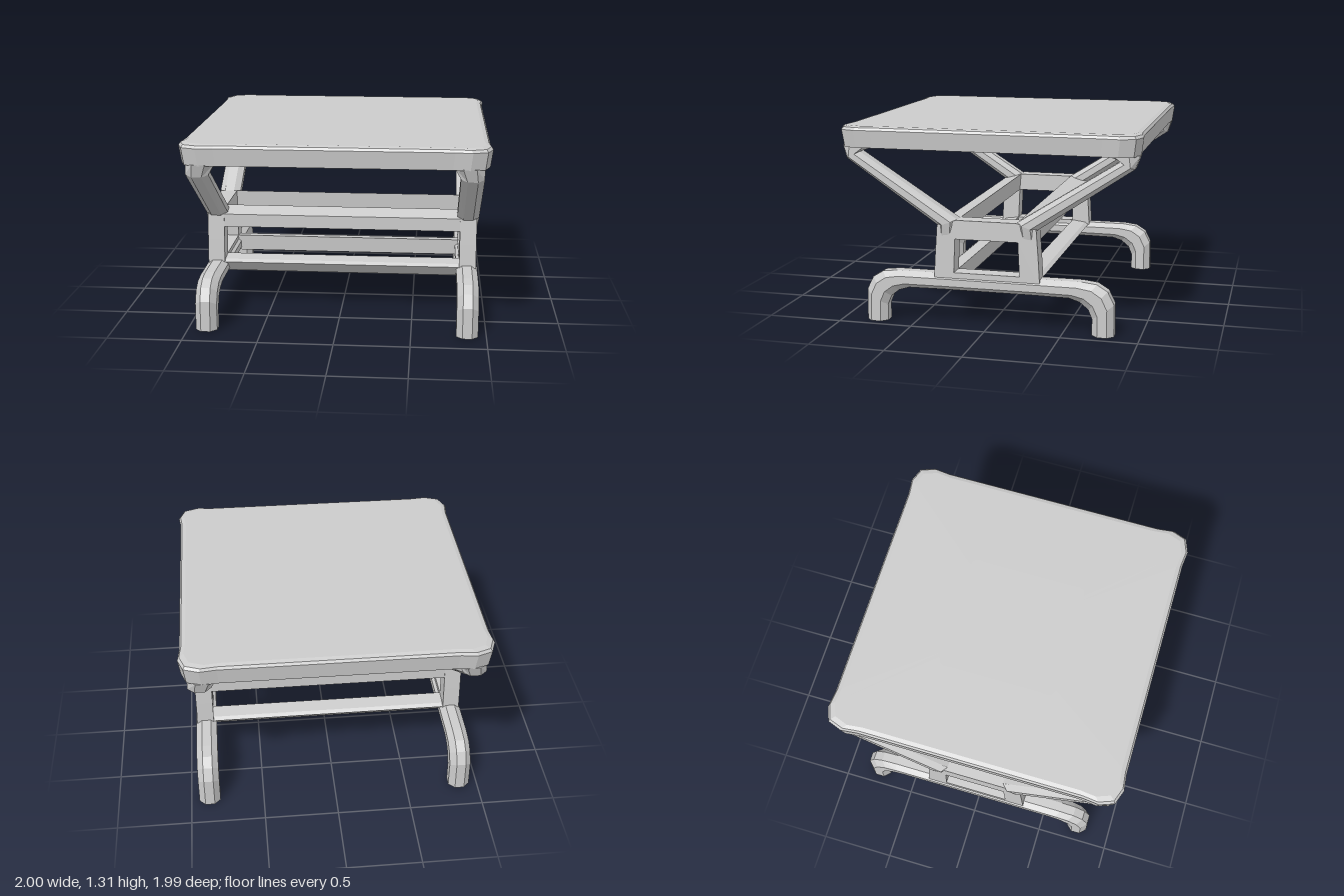
import * as THREE from 'three';

const material = new THREE.MeshStandardMaterial({ color: 0xcccccc, flatShading: true, side: THREE.DoubleSide });

// Skin a series of equal-length rings, optionally closing both ends.
function skin(rings, capped) {
  const n = rings[0].length, pos = rings.flat(2), idx = [];
  for (let i = 0; i < rings.length - 1; i++) {
    for (let j = 0; j < n; j++) {
      const k = (j + 1) % n, a = i * n + j, b = i * n + k;
      idx.push(a, b + n, b, a, a + n, b + n);
    }
  }
  if (capped) {
    const last = (rings.length - 1) * n, c0 = rings.length * n;
    pos.push(0, 1, 2).forEach;
    pos.length -= 3;
    for (const ring of [rings[0], rings[rings.length - 1]]) {
      for (let d = 0; d < 3; d++) pos.push(ring.reduce((s, p) => s + p[d], 0) / n);
    }
    for (let j = 0; j < n; j++) {
      const k = (j + 1) % n;
      idx.push(c0, j, k, c0 + 1, last + k, last + j);
    }
  }
  const g = new THREE.BufferGeometry();
  g.setAttribute('position', new THREE.Float32BufferAttribute(pos, 3));
  g.setIndex(idx);
  g.computeVertexNormals();
  return g;
}

// Chamfered eight-sided section between two (z, y) points and two x limits.
function octagon([z0, y0], [z1, y1], xa = 0.80, xb = 0.945) {
  const c = 0.28, d = 1 - c;
  return [[c, 0], [d, 0], [1, c], [1, d], [d, 1], [c, 1], [0, d], [0, c]].map(([u, v]) =>
    [xa + (xb - xa) * u, y0 + (y1 - y0) * v, z0 + (z1 - z0) * v]);
}

// Extrude a (z, y) profile along x.
function bar(points, x0, x1, hole) {
  const toVec = p => new THREE.Vector2(...p);
  const shape = new THREE.Shape(points.map(toVec));
  if (hole) shape.holes.push(new THREE.Path(hole.map(toVec)));
  const g = new THREE.ExtrudeGeometry(shape, { depth: x1 - x0, bevelEnabled: false });
  return g.rotateY(-Math.PI / 2).translate(x1, 0, 0);
}

function add(parent, name, geometry, sx = 1, sz = 1) {
  const mesh = new THREE.Mesh(geometry, material);
  mesh.name = name;
  mesh.scale.set(sx, 1, sz);
  parent.add(mesh);
}

export function createModel() {
  const model = new THREE.Group();
  model.name = 'table';

  // Top: square plate with slightly flared corners and a softened upper edge
  const quarter = [[0.988, 0.76], [1, 0.87], [0.965, 0.965], [0.87, 1], [0.76, 0.988]];
  const outline = [];
  for (let q = 0; q < 4; q++) {
    for (const [a, b] of quarter) outline.push([[a, b], [-b, a], [-a, -b], [b, -a]][q]);
  }
  const level = (s, y) => outline.map(([x, z]) => [x * s, y, z * s * 0.995]);
  add(model, 'tableTop', skin([
    level(0.985, 1.17), level(1, 1.285), level(0.988, 1.302), level(0.96, 1.31), level(0.4, 1.313),
  ], true));

  // Leg: one bent bar per side, running from front foot to back foot (inner, outer points)
  const half = [
    [[0.69, 0], [0.835, 0]],
    [[0.69, 0.11], [0.832, 0.21]],
    [[0.665, 0.17], [0.79, 0.295]],
    [[0.61, 0.215], [0.72, 0.338]],
    [[0.54, 0.237], [0.62, 0.35]],
    [[0.3, 0.24], [0.3, 0.35]],
  ];
  const back = half.map(s => s.map(([z, y]) => [-z, y])).reverse();
  const leg = skin([...half, ...back].map(([i, o]) => octagon(i, o)), false);

  // Side frame: two posts and an upper bar around an opening
  const sideFrame = bar(
    [[-0.355, 0.30], [0.355, 0.30], [0.343, 0.5], [0.33, 0.68], [0.2, 0.715], [-0.2, 0.715], [-0.33, 0.68], [-0.343, 0.5]],
    0.82, 0.935,
    [[-0.22, 0.365], [-0.21, 0.59], [0.21, 0.59], [0.22, 0.365]]);

  // Strut: slanted arm flaring out under the corner of the top
  const strut = skin([
    octagon([0.98, 1.175], [0.75, 1.175], 0.76, 0.95),
    octagon([0.95, 1.09], [0.86, 1.135], 0.80, 0.95),
    octagon([0.33, 0.67], [0.2, 0.715], 0.80, 0.95),
    octagon([0.335, 0.58], [0.215, 0.60], 0.825, 0.93),
  ], true);

  for (const [sx, side] of [[1, 'left'], [-1, 'right']]) {
    add(model, side + 'Leg', leg, sx);
    add(model, side + 'Frame', sideFrame, sx);
    add(model, side + 'FrontStrut', strut, sx, 1);
    add(model, side + 'BackStrut', strut, sx, -1);
  }

  // Cross rails joining the two side frames, front and back
  const upperRail = bar([[0.21, 0.59], [0.33, 0.59], [0.33, 0.68], [0.2, 0.715]], -0.83, 0.83);
  const lowerRail = bar([[0.23, 0.25], [0.26, 0.25], [0.345, 0.335], [0.32, 0.352], [0.22, 0.365]], -0.83, 0.83);
  for (const [sz, end] of [[1, 'front'], [-1, 'back']]) {
    add(model, end + 'UpperRail', upperRail, 1, sz);
    add(model, end + 'LowerRail', lowerRail, 1, sz);
  }
  return model;
}
